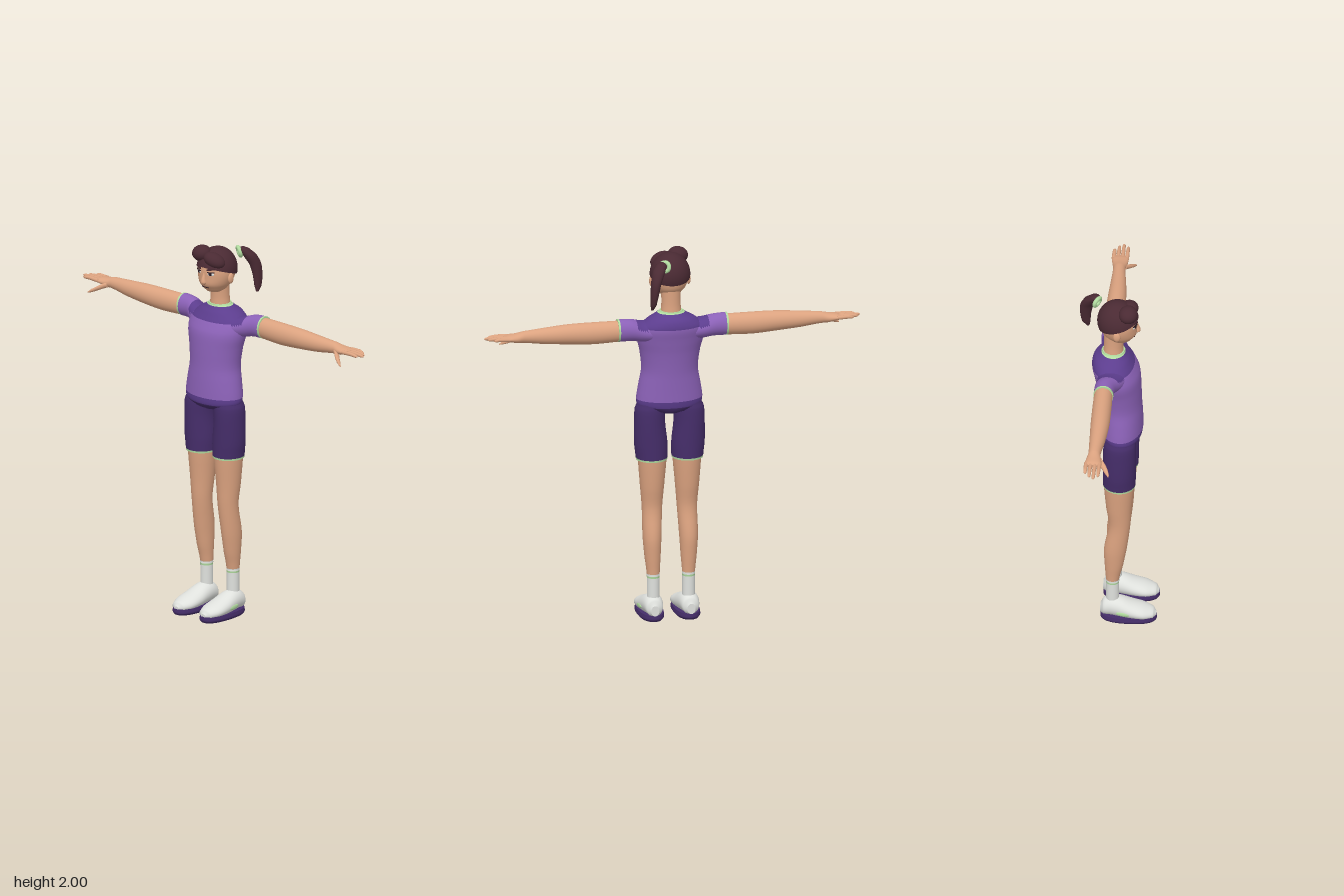
import * as THREE from 'three';

const mat = (name, color) => {
  const m = new THREE.MeshStandardMaterial({ color });
  m.name = name;
  return m;
};

export function createModel() {
  const model = new THREE.Group();
  model.name = 'athlete';
  const skin = mat('skin', 0xdca380), hair = mat('hair', 0x4a2a33), shirt = mat('shirt purple', 0x8c62b8),
    yoke = mat('yoke purple', 0x5c3d8e), shorts = mat('shorts purple', 0x452d69),
    white = mat('white', 0xdfe1dd), green = mat('trim green', 0xb2dca0), dark = mat('dark line', 0x2a1a22);

  const add = (name, geo, material, pos = [0, 0, 0], rot = [0, 0, 0], scale = [1, 1, 1]) => {
    const m = new THREE.Mesh(geo, material);
    m.name = name;
    m.position.set(...pos);
    m.rotation.set(...rot);
    m.scale.set(...scale);
    model.add(m);
    return m;
  };
  const blob = (name, material, pos, scale, rot) =>
    add(name, new THREE.SphereGeometry(1, 24, 16), material, pos, rot, scale);

  // Smooth body through elliptical sections [t, a, b, ra, rb, material from here on].
  // axis y: centre (a, t, b); axis x: centre (t, a, b); axis z: centre (a, b, t). s mirrors in x.
  function loft(name, sections, { axis = 'y', s = 1, sides = 28, steps = 4, floor = -9, power = 1, pick } = {}) {
    const rows = [], mats = [];
    const at = i => sections[Math.max(0, Math.min(sections.length - 1, i))];
    let current = null;
    for (let i = 0; i < sections.length; i++) {
      current = sections[i][5] || current;
      const n = i < sections.length - 1 ? steps : 1;
      for (let k = 0; k < n; k++) {
        const u = k / n;
        const row = [0, 1, 2, 3, 4].map(c => {
          const [p, q, r, w] = [at(i - 1)[c], at(i)[c], at(i + 1)[c], at(i + 2)[c]];
          if (c === 0) return q + (r - q) * u;
          return q + 0.5 * u * (r - p + u * (2 * p - 5 * q + 4 * r - w + u * (3 * (q - r) + w - p)));
        });
        rows.push(row);
        mats.push(current);
      }
    }
    const pos = [];
    const ring = ([t, a, b, ra, rb]) => {
      for (let j = 0; j < sides; j++) {
        const th = j / sides * Math.PI * 2;
        const bend = v => Math.sign(v) * Math.abs(v) ** power;
        const c = bend(Math.cos(th)), d = bend(Math.sin(th));
        if (axis === 'y') pos.push(s * a + ra * c, t, b + rb * d);
        else if (axis === 'x') pos.push(s * t, a + ra * d, b + rb * s * c);
        else pos.push(s * a + ra * d, Math.max(floor, b + rb * c), t);
      }
    };
    rows.forEach(ring);
    const byMat = new Map();
    const face = (m, ...tri) => {
      if (pick) m = pick(m, pos.slice(tri[0] * 3, tri[0] * 3 + 3));
      if (!byMat.has(m)) byMat.set(m, []);
      byMat.get(m).push(...tri);
    };
    for (let i = 0; i < rows.length - 1; i++) {
      for (let j = 0; j < sides; j++) {
        const k = (j + 1) % sides, p = i * sides, q = p + sides;
        face(mats[i], p + j, q + j, p + k);
        face(mats[i], p + k, q + j, q + k);
      }
    }
    // End caps with their own rings
    for (const end of [0, rows.length - 1]) {
      const base = pos.length / 3;
      ring(rows[end]);
      for (let j = 1; j < sides - 1; j++) {
        if (end) face(mats[end], base, base + j + 1, base + j);
        else face(mats[end], base, base + j, base + j + 1);
      }
    }
    const g = new THREE.BufferGeometry();
    g.setAttribute('position', new THREE.Float32BufferAttribute(pos, 3));
    const index = [];
    [...byMat.values()].forEach((list, i) => {
      g.addGroup(index.length, list.length, i);
      for (const v of list) index.push(v);
    });
    g.setIndex(index);
    g.computeVertexNormals();
    return add(name, g, [...byMat.keys()]);
  }

  // Shirt body, yoke and collar
  loft('shirt', [
    [1.195, 0, 0.018, 0.175, 0.113, shirt], [1.28, 0, 0.016, 0.162, 0.112], [1.36, 0, 0.012, 0.149, 0.111],
    [1.46, 0, 0.005, 0.16, 0.115], [1.54, 0, -0.006, 0.178, 0.119], [1.6, 0, -0.025, 0.172, 0.111, yoke],
    [1.642, 0, -0.032, 0.125, 0.092], [1.672, 0, -0.025, 0.073, 0.063, green], [1.682, 0, -0.024, 0.06, 0.058],
  ], { sides: 40 });
  loft('hips', [
    [1.12, 0, 0.015, 0.06, 0.06, shorts], [1.135, 0, 0.017, 0.11, 0.09],
    [1.16, 0, 0.02, 0.168, 0.106, yoke], [1.205, 0, 0.018, 0.173, 0.111],
  ], { sides: 40 });

  // Neck and head
  loft('neck', [[1.65, 0, -0.025, 0.056, 0.054, skin], [1.72, 0, -0.024, 0.05, 0.05], [1.82, 0, -0.02, 0.052, 0.055]]);
  loft('head', [
    [1.755, 0, 0.022, 0.04, 0.036, skin], [1.768, 0, 0.013, 0.058, 0.06], [1.8, 0, 0.008, 0.081, 0.089],
    [1.84, 0, 0.003, 0.096, 0.097], [1.88, 0, 0, 0.099, 0.1], [1.93, 0, 0, 0.088, 0.09], [1.96, 0, 0, 0.05, 0.05],
  ], { sides: 36 });
  loft('nose', [
    [1.803, 0, 0.099, 0.008, 0.005, skin], [1.813, 0, 0.1, 0.016, 0.016],
    [1.835, 0, 0.1, 0.011, 0.012], [1.865, 0, 0.096, 0.007, 0.005],
  ], { sides: 14 });
  add('mouth', new THREE.BoxGeometry(0.045, 0.004, 0.006), dark, [0, 1.786, 0.086]);

  // Hair: cap, quiff, fringe, tie and ponytail
  add('hairCap', new THREE.SphereGeometry(1, 36, 18, 0, Math.PI * 2, 0, Math.PI * 0.51),
    hair, [0, 1.868, 0], [-0.3, 0, 0], [0.106, 0.118, 0.109]).material.side = THREE.DoubleSide;
  blob('quiff', hair, [-0.054, 1.953, 0.056], [0.054, 0.043, 0.05], [0, 0, 0.15]);
  blob('fringe', hair, [0.035, 1.932, 0.056], [0.062, 0.038, 0.046], [0, 0.3, -0.35]);
  loft('ponytail', [
    [1.732, 0.13, -0.168, 0.007, 0.008, hair], [1.76, 0.126, -0.177, 0.015, 0.022], [1.82, 0.12, -0.18, 0.022, 0.029],
    [1.88, 0.11, -0.172, 0.027, 0.035], [1.93, 0.092, -0.148, 0.033, 0.037],
    [1.962, 0.074, -0.127, 0.026, 0.027], [1.974, 0.07, -0.122, 0.008, 0.008],
  ]);
  add('hairTie', new THREE.TorusGeometry(0.024, 0.011, 10, 24), green, [0.052, 1.945, -0.114])
    .lookAt(0.052 + 0.5, 1.945 + 0.25, -0.114 - 0.8);

  for (const s of [1, -1]) {
    // Face details
    blob('ear', skin, [s * 0.099, 1.835, 0], [0.011, 0.028, 0.019]);
    blob('eyeWhite', white, [s * 0.041, 1.864, 0.09], [0.019, 0.009, 0.004], [0, s * 0.42, 0]);
    blob('iris', dark, [s * 0.04, 1.865, 0.093], [0.009, 0.009, 0.004], [0, s * 0.42, 0]);
    add('eyelid', new THREE.BoxGeometry(0.04, 0.004, 0.008), dark, [s * 0.042, 1.874, 0.091], [0, s * 0.42, s * 0.06]);
    add('brow', new THREE.BoxGeometry(0.042, 0.008, 0.008), hair, [s * 0.042, 1.89, 0.092], [0, s * 0.42, s * 0.2]);

    // Sleeve with trimmed cuff, then arm and hand
    loft('sleeve', [
      [0.09, 1.57, -0.018, 0.055, 0.088, shirt], [0.16, 1.578, -0.032, 0.055, 0.07], [0.22, 1.593, -0.05, 0.058, 0.055],
      [0.282, 1.596, -0.054, 0.06, 0.052, green], [0.292, 1.596, -0.054, 0.06, 0.052],
    ], { axis: 'x', s, steps: 6, pick: (m, [x, y]) => (m === shirt && Math.abs(x) < 0.19 && y > 1.598 ? yoke : m) });
    loft('arm', [
      [0.26, 1.593, -0.055, 0.055, 0.048, skin], [0.42, 1.59, -0.053, 0.058, 0.05], [0.55, 1.593, -0.052, 0.053, 0.048],
      [0.68, 1.594, -0.055, 0.043, 0.04], [0.79, 1.597, -0.06, 0.031, 0.032], [0.83, 1.594, -0.06, 0.025, 0.039],
      [0.87, 1.597, -0.061, 0.017, 0.044], [0.893, 1.598, -0.061, 0.009, 0.041],
    ], { axis: 'x', s });
    [[-0.096, 0.957], [-0.073, 0.985], [-0.05, 1], [-0.027, 0.978]].forEach(([z, tip]) => loft('finger', [
      [0.87, 1.598, z, 0.011, 0.011, skin], [0.93, 1.6, z, 0.01, 0.01],
      [tip - 0.012, 1.597, z, 0.008, 0.008], [tip, 1.596, z, 0.002, 0.002],
    ], { axis: 'x', s, sides: 12 }));
    loft('thumb', [
      [0.81, 1.588, -0.04, 0.016, 0.018, skin], [0.85, 1.569, -0.01, 0.013, 0.016],
      [0.885, 1.55, 0.012, 0.009, 0.01], [0.903, 1.54, 0.021, 0.003, 0.003],
    ], { axis: 'x', s, sides: 14 });

    // Shorts leg with trim
    loft('shortsLeg', [
      [0.865, 0.095, 0.013, 0.082, 0.084, green], [0.875, 0.095, 0.013, 0.083, 0.085, shorts],
      [0.95, 0.099, 0.014, 0.087, 0.086], [1.06, 0.105, 0.015, 0.081, 0.086], [1.14, 0.103, 0.016, 0.079, 0.084],
      [1.18, 0.095, 0.016, 0.07, 0.075],
    ], { s });
    // Leg and sock
    loft('leg', [
      [0.1, 0.094, -0.022, 0.033, 0.034, white], [0.228, 0.094, -0.022, 0.033, 0.034, green],
      [0.238, 0.094, -0.022, 0.034, 0.035, white], [0.25, 0.094, -0.022, 0.034, 0.035, skin],
      [0.34, 0.096, -0.015, 0.042, 0.048], [0.45, 0.097, -0.007, 0.049, 0.059], [0.6, 0.093, 0.014, 0.053, 0.056],
      [0.72, 0.093, 0.011, 0.063, 0.067], [0.88, 0.092, 0.011, 0.075, 0.08],
    ], { s });
    // Shoe, sole and side accent
    loft('shoe', [
      [-0.085, 0.096, 0.06, 0.022, 0.028, white], [-0.068, 0.096, 0.072, 0.044, 0.046], [-0.03, 0.096, 0.08, 0.053, 0.055],
      [0.02, 0.096, 0.074, 0.06, 0.056], [0.08, 0.096, 0.06, 0.066, 0.046], [0.14, 0.096, 0.05, 0.065, 0.036],
      [0.19, 0.096, 0.042, 0.042, 0.025], [0.207, 0.096, 0.038, 0.014, 0.01],
    ], { axis: 'z', s, floor: 0.028 });
    loft('sole', [
      [0, 0.096, 0.062, 0.06, 0.14, shorts], [0.012, 0.096, 0.062, 0.069, 0.148], [0.034, 0.096, 0.062, 0.066, 0.146],
    ], { s, power: 0.85, sides: 36 });
    blob('shoeAccent', green, [s * 0.156, 0.06, 0.035], [0.005, 0.012, 0.036], [0.08, s * 0.1, 0]);
  }
  return model;
}
